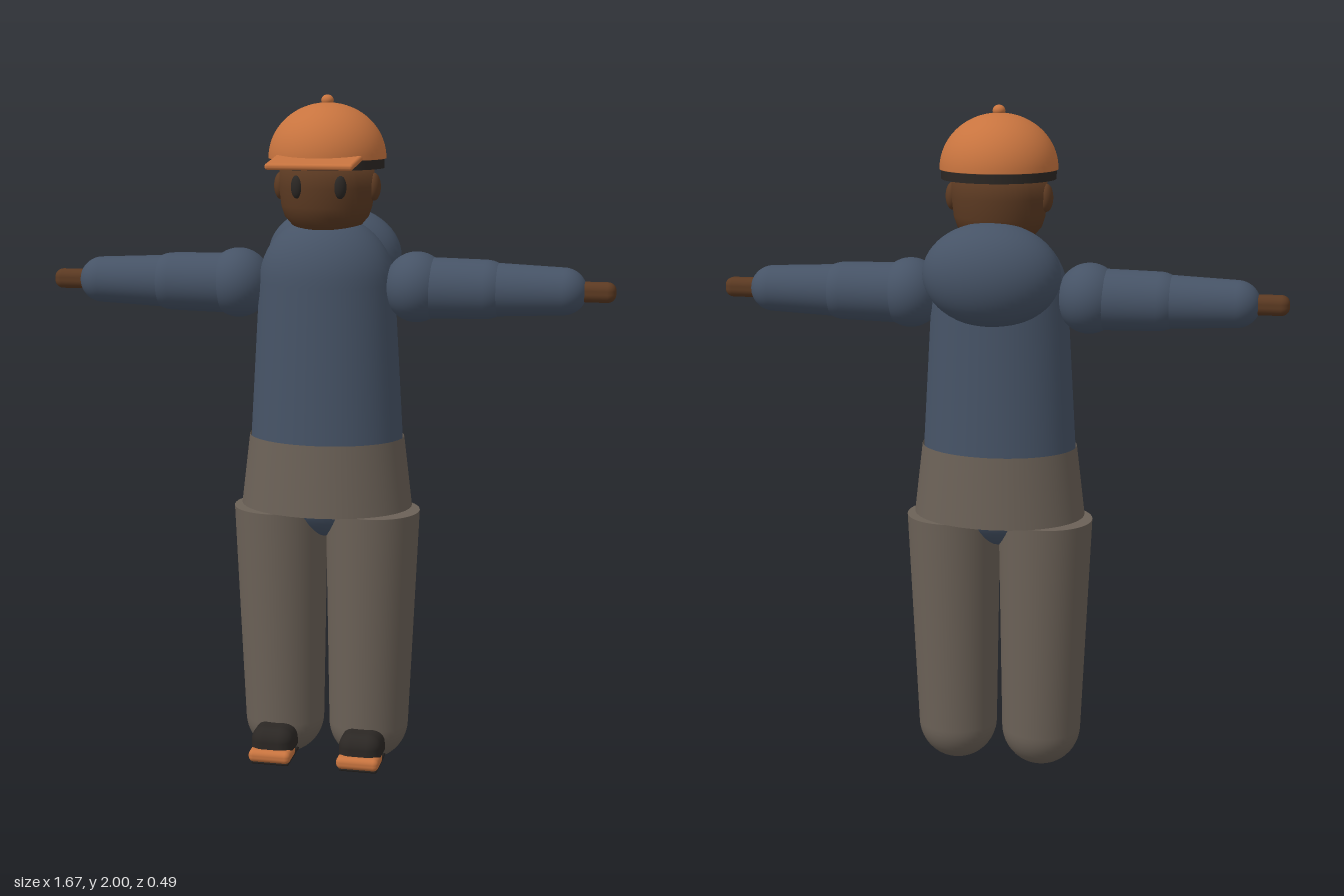
import * as THREE from 'three';
import { RoundedBoxGeometry } from 'three/addons/geometries/RoundedBoxGeometry.js';

const mat = (color) => new THREE.MeshStandardMaterial({ color, side: THREE.DoubleSide });
const BLUE = mat(0x465366), TAN = mat(0x6b6157), SKIN = mat(0x5c3a22);
const ORANGE = mat(0xc8743f), DARK = mat(0x2b2724);

export function createModel() {
  const root = new THREE.Group();

  const add = (name, geometry, material, x = 0, y = 0, z = 0) => {
    const mesh = new THREE.Mesh(geometry, material);
    mesh.name = name;
    mesh.position.set(x, y, z);
    root.add(mesh);
    return mesh;
  };
  const ball = (name, material, [x, y, z], [rx, ry, rz]) => {
    const mesh = add(name, new THREE.SphereGeometry(1, 40, 28), material, x, y, z);
    mesh.scale.set(rx, ry, rz);
    return mesh;
  };
  // Quarter-ellipse points for rounded profile ends, from angle a to b
  const arc = (cy, r, h, a, b, n = 12) => Array.from({ length: n + 1 }, (_, i) => {
    const t = a + (b - a) * i / n;
    return [Math.max(0, r * Math.cos(t)), cy + h * Math.sin(t)];
  });
  const lathe = (points) => new THREE.LatheGeometry(points.map(([r, y]) => new THREE.Vector2(r, y)), 48);
  const H = Math.PI / 2;

  // Tapered torso with a domed top
  add('torso', lathe([[0, 0.86], [0.232, 0.86], [0.232, 0.861], [0.226, 1.02], [0.2, 1.46],
    ...arc(1.46, 0.2, 0.2, 0, H).slice(1)]), BLUE).scale.z = 0.77;
  ball('pelvis', BLUE, [0, 0.85, 0], [0.2, 0.15, 0.125]);
  ball('hood', BLUE, [0, 1.53, -0.112], [0.2, 0.15, 0.133]);

  // Flared open hem
  add('hem', new THREE.CylinderGeometry(0.231, 0.256, 0.21, 48, 1, true), TAN, 0, 0.905, 0).scale.z = 0.78;

  // Head
  add('head', lathe([[0, 1.6], [0.085, 1.61], [0.105, 1.635], [0.122, 1.655], [0.132, 1.685],
    [0.138, 1.74], [0.137, 1.81], [0, 1.81]]), SKIN).scale.z = 0.96;

  // Cap
  add('capBand', new THREE.CylinderGeometry(0.165, 0.165, 0.03, 48), DARK, 0, 1.808, -0.008);
  add('capDome', lathe([[0, 1.82], [0.17, 1.82], [0.17, 1.821], ...arc(1.822, 0.17, 0.156, 0, H, 20)]),
    ORANGE, 0, 0, -0.008);
  ball('capButton', ORANGE, [0, 1.984, -0.008], [0.018, 0.016, 0.018]);
  const brim = add('capBrim', new RoundedBoxGeometry(0.25, 0.018, 0.15, 3, 0.008), ORANGE, 0, 1.817, 0.172);
  brim.rotation.x = 0.13;

  // Capsule-like sleeve pointing along +x
  const sleeve = (r0, r1, length) => lathe([...arc(0, r0, r0, -H, 0),
    ...arc(length, r1, r1, 0, H)]).rotateZ(-H);

  for (const s of [1, -1]) {
    const side = s > 0 ? 'left' : 'right';
    ball(side + 'Eye', DARK, [s * 0.063, 1.745, 0.114], [0.018, 0.033, 0.014]).rotation.y = s * 0.45;
    ball(side + 'Ear', SKIN, [s * 0.137, 1.74, -0.005], [0.02, 0.04, 0.028]);

    // Arm
    ball(side + 'Shoulder', BLUE, [s * 0.265, 1.455, -0.003], [0.095, 0.102, 0.102]);
    const turn = s > 0 ? 0 : Math.PI;
    add(side + 'UpperArm', sleeve(0.089, 0.085, 0.19), BLUE, s * 0.275, 1.453, -0.003).rotation.y = turn;
    add(side + 'Forearm', sleeve(0.077, 0.068, 0.2), BLUE, s * 0.487, 1.453, -0.003).rotation.y = turn;
    add(side + 'Hand', new RoundedBoxGeometry(0.14, 0.058, 0.056, 4, 0.024), SKIN, s * 0.766, 1.453, -0.003);

    // Trouser leg: tapered, flat on top and round at the bottom
    const leg = add(side + 'Leg', lathe([...arc(0.125, 0.12, 0.12, -H, 0), [0.14, 0.789],
      [0.14, 0.79], [0, 0.79]]), TAN, s * 0.129, 0, 0);
    leg.rotation.z = -s * 0.014;

    // Shoe
    const x = s * 0.134;
    add(side + 'Shoe', new RoundedBoxGeometry(0.128, 0.1, 0.17, 5, 0.04), DARK, x, 0.085, 0.105);
    add(side + 'Toe', new RoundedBoxGeometry(0.128, 0.038, 0.09, 4, 0.016), ORANGE, x, 0.056, 0.164);
    add(side + 'Sole', new RoundedBoxGeometry(0.118, 0.016, 0.16, 3, 0.007), DARK, x, 0.037, 0.118);
  }
  return root;
}
